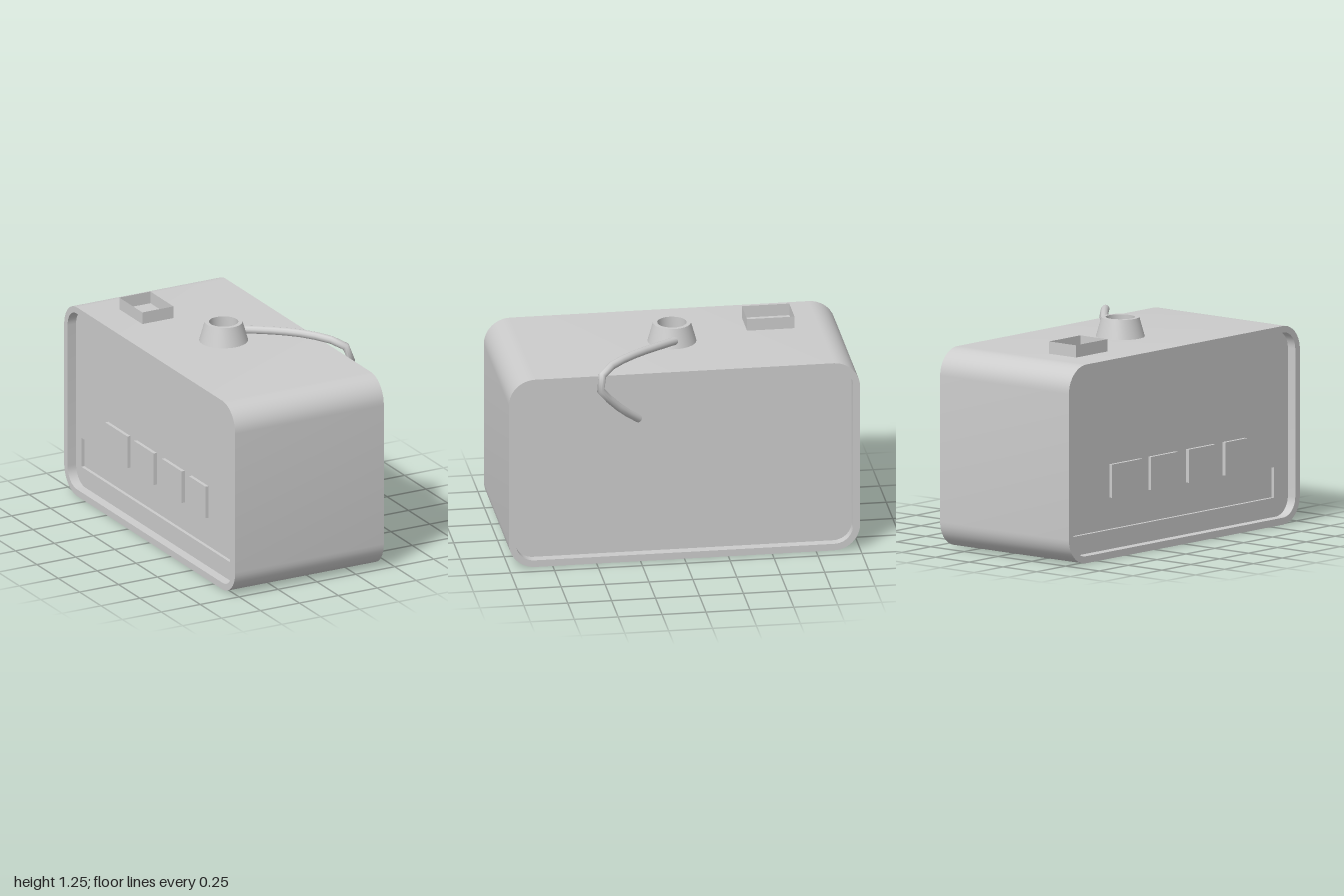
import * as THREE from 'three';
import { toCreasedNormals } from 'three/addons/utils/BufferGeometryUtils.js';

const grey = new THREE.MeshStandardMaterial({ color: 0xcccccc });
const thin = new THREE.MeshStandardMaterial({ color: 0xcccccc, side: THREE.DoubleSide });

const X0 = -0.525, X1 = 0.43; // outer sides of the case
const TOP = 1.135;            // top of the case
const RECESS = 0.055;         // how far the side panels sit inside the rim

// Rounded rectangle centred on the first axis
function roundedRect(Type, halfWidth, y0, y1, r) {
  const s = new Type(), w = halfWidth;
  s.moveTo(-w + r, y0);
  s.lineTo(w - r, y0);
  s.absarc(w - r, y0 + r, r, -Math.PI / 2, 0);
  s.absarc(w - r, y1 - r, r, 0, Math.PI / 2);
  s.absarc(-w + r, y1 - r, r, Math.PI / 2, Math.PI);
  s.absarc(-w + r, y0 + r, r, Math.PI, Math.PI * 1.5);
  return s;
}

// Extrude a side profile along x, from x0 to x1
function extrudeX(shape, x0, x1) {
  const g = new THREE.ExtrudeGeometry(shape, { depth: x1 - x0, bevelEnabled: false, curveSegments: 5 });
  g.rotateY(Math.PI / 2);
  g.translate(x0, 0, 0);
  return toCreasedNormals(g, 0.7);
}

export function createModel() {
  const group = new THREE.Group();
  const add = (name, geometry, material = grey) => {
    const mesh = new THREE.Mesh(geometry, material);
    mesh.name = name;
    group.add(mesh);
    return mesh;
  };
  const inner = (Type) => roundedRect(Type, 0.96, 0.04, TOP - 0.038, 0.105);

  // Case wall, open at both sides
  const shell = roundedRect(THREE.Shape, 1, 0, TOP, 0.15);
  shell.holes.push(inner(THREE.Path));
  add('caseShell', extrudeX(shell, X0, X1));

  // Right-hand side panels: plain on +x, slotted on -x
  add('plainPanel', extrudeX(inner(THREE.Shape), X1 - RECESS - 0.03, X1 - RECESS));
  const slotted = inner(THREE.Shape);
  const slot = new THREE.Path();
  slot.moveTo(-0.84, 0.15);
  slot.lineTo(0.9, 0.15);
  slot.lineTo(0.9, 0.324);
  slot.lineTo(-0.84, 0.324);
  slot.closePath();
  slotted.holes.push(slot);
  const panelX = X0 + RECESS;
  add('slottedPanel', extrudeX(slotted, panelX, panelX + 0.02));
  add('slotBacking', extrudeX(inner(THREE.Shape), panelX + 0.02, panelX + 0.04));

  // Four raised keys above the slot
  [[-0.585, -0.325], [-0.248, -0.017], [0.079, 0.31], [0.396, 0.588]].forEach(([a, b], i) => {
    const key = add('key' + (i + 1), new THREE.BoxGeometry(0.03, 0.19, b - a));
    key.position.set(panelX - 0.005, 0.43, (a + b) / 2);
  });

  // Open thin-walled frame on top
  const frame = new THREE.Group();
  frame.name = 'topFrame';
  frame.position.set(-0.23, TOP + 0.035, -0.575);
  for (const s of [-1, 1]) {
    const end = new THREE.Mesh(new THREE.PlaneGeometry(0.2, 0.07), thin);
    end.name = 'frameEnd';
    end.position.z = s * 0.135;
    end.rotation.y = s > 0 ? 0 : Math.PI;
    const side = new THREE.Mesh(new THREE.PlaneGeometry(0.27, 0.07), thin);
    side.name = 'frameSide';
    side.position.x = s * 0.1;
    side.rotation.y = s * Math.PI / 2;
    frame.add(end, side);
  }
  group.add(frame);

  // Tapered hollow collar
  const profile = [[0.138, 0], [0.107, 0.11], [0.083, 0.11], [0.083, 0]].map(([r, y]) => new THREE.Vector2(r, y));
  const collar = add('collar', toCreasedNormals(new THREE.LatheGeometry(profile, 32), 0.6), thin);
  collar.position.set(-0.05, TOP, 0);

  // Cable from the collar over the edge into the plain panel
  const path = new THREE.CatmullRomCurve3([
    [0.065, 1.177, 0], [0.19, 1.193, 0.14], [0.31, 1.2, 0.285], [0.42, 1.185, 0.42],
    [0.475, 1.155, 0.475], [0.503, 1.09, 0.492], [0.47, 0.995, 0.42], [0.425, 0.91, 0.335], [0.37, 0.84, 0.25],
  ].map((p) => new THREE.Vector3(...p)));
  add('cable', new THREE.TubeGeometry(path, 12, 0.023, 10), thin);

  return group;
}
